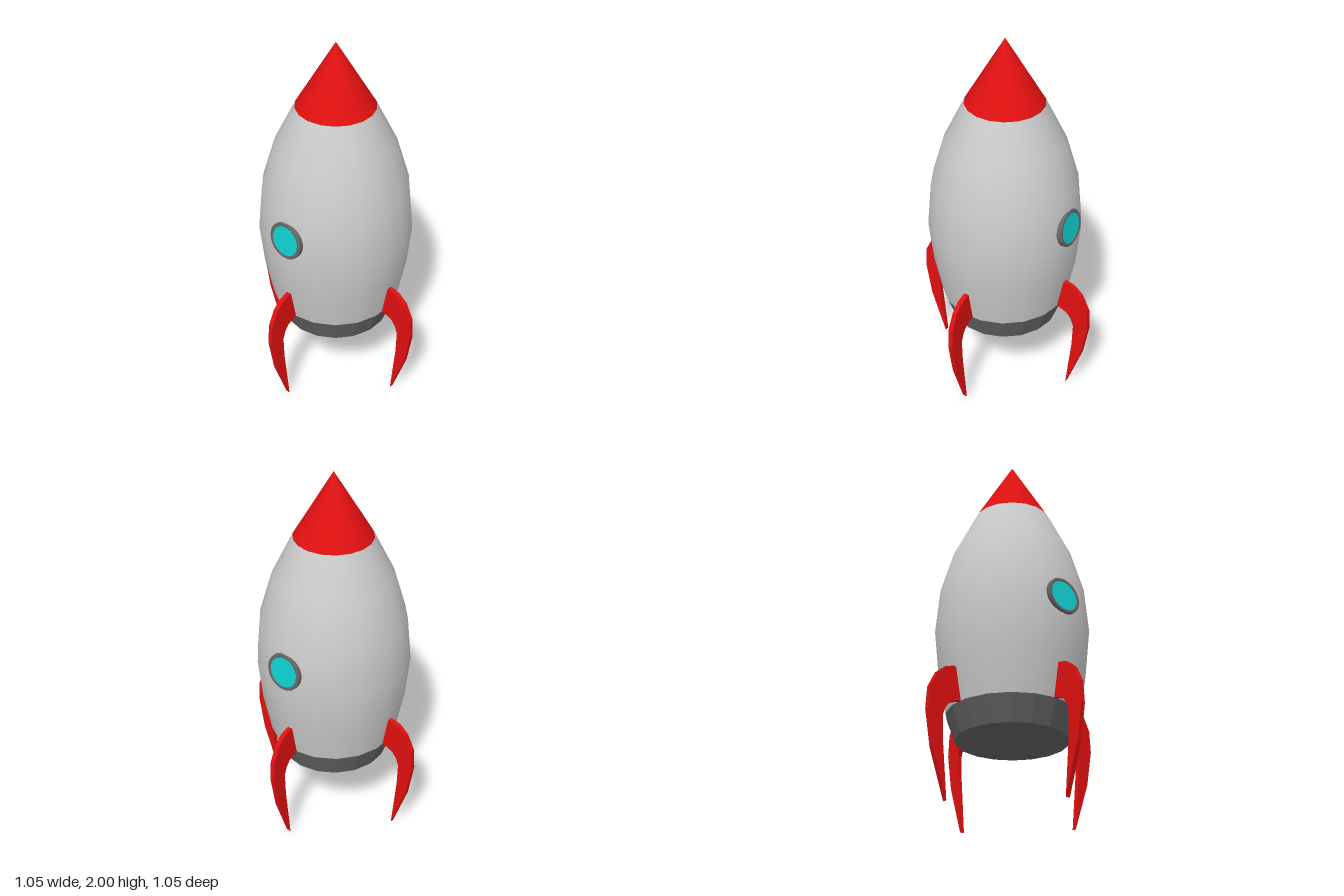
import * as THREE from 'three';
import { toCreasedNormals } from 'three/addons/utils/BufferGeometryUtils.js';

const SIDES = 18;
const mat = (color, flatShading = false) => new THREE.MeshStandardMaterial({ color, flatShading });

const hullGrey = mat(0xcccccc);
const darkFlat = mat(0x666666, true);
const darkSmooth = mat(0x666666);
const red = mat(0xe01010);
const cyan = mat(0x10d0d0);

const points = (pairs) => pairs.map(([x, y]) => new THREE.Vector2(x, y));

function addMesh(parent, name, geometry, material) {
  const mesh = new THREE.Mesh(geometry, material);
  mesh.name = name;
  parent.add(mesh);
  return mesh;
}

// 18-sided turned shape with a corner on the x axis
const turned = (profile) => new THREE.LatheGeometry(points(profile), SIDES, Math.PI / SIDES);

// Curved leg fin lying in the xy plane, root buried slightly in the hull
function finGeometry() {
  const thickness = 0.025;
  const outline = new THREE.Shape(points([
    [0.33, 0.515], [0.344, 0.515], [0.397, 0.495], [0.423, 0.465], [0.44, 0.42], [0.436, 0.295],
    [0.407, 0.0], [0.495, 0.25], [0.527, 0.435], [0.52, 0.55], [0.478, 0.635], [0.43, 0.675],
    [0.38, 0.69], [0.355, 0.685],
  ]));
  const geometry = new THREE.ExtrudeGeometry(outline, { depth: thickness, bevelEnabled: false });
  return geometry.translate(0, 0, -thickness / 2);
}

// Round porthole facing +y: a rim with a slightly recessed pane
function porthole(name) {
  const group = new THREE.Group();
  group.name = name;
  const rim = new THREE.LatheGeometry(points([
    [0.1, -0.03], [0.1, -0.004], [0.096, 0], [0.084, 0], [0.08, -0.003], [0.08, -0.03],
  ]), 32);
  addMesh(group, 'windowRim', toCreasedNormals(rim, 0.6), darkSmooth);
  const glass = new THREE.CircleGeometry(0.081, 32).rotateX(-Math.PI / 2).translate(0, -0.002, 0);
  addMesh(group, 'windowGlass', glass, cyan);
  return group;
}

export function createModel() {
  const rocket = new THREE.Group();
  rocket.name = 'rocket';

  // Hull, nose and engine base
  addMesh(rocket, 'hull', turned([
    [0.34, 0.515], [0.382, 0.73], [0.405, 0.96], [0.383, 1.2], [0.315, 1.43], [0.205, 1.655],
  ]), hullGrey);
  addMesh(rocket, 'noseCone', turned([[0.205, 1.655], [0, 2]]), red);
  addMesh(rocket, 'engineBase', turned([[0, 0.38], [0.29, 0.38], [0.34, 0.515]]), darkFlat);

  // Four fins
  const fin = finGeometry();
  ['leftFin', 'backFin', 'rightFin', 'frontFin'].forEach((name, i) => {
    addMesh(rocket, name, fin, red).rotation.y = i * Math.PI / 2;
  });

  // Portholes on both sides, leaning with the hull
  for (const side of [1, -1]) {
    const window = porthole(side > 0 ? 'leftWindow' : 'rightWindow');
    window.position.set(side * 0.404, 1.05, 0.01);
    window.rotation.z = -side * (Math.PI / 2 - 0.1);
    rocket.add(window);
  }

  return rocket;
}
